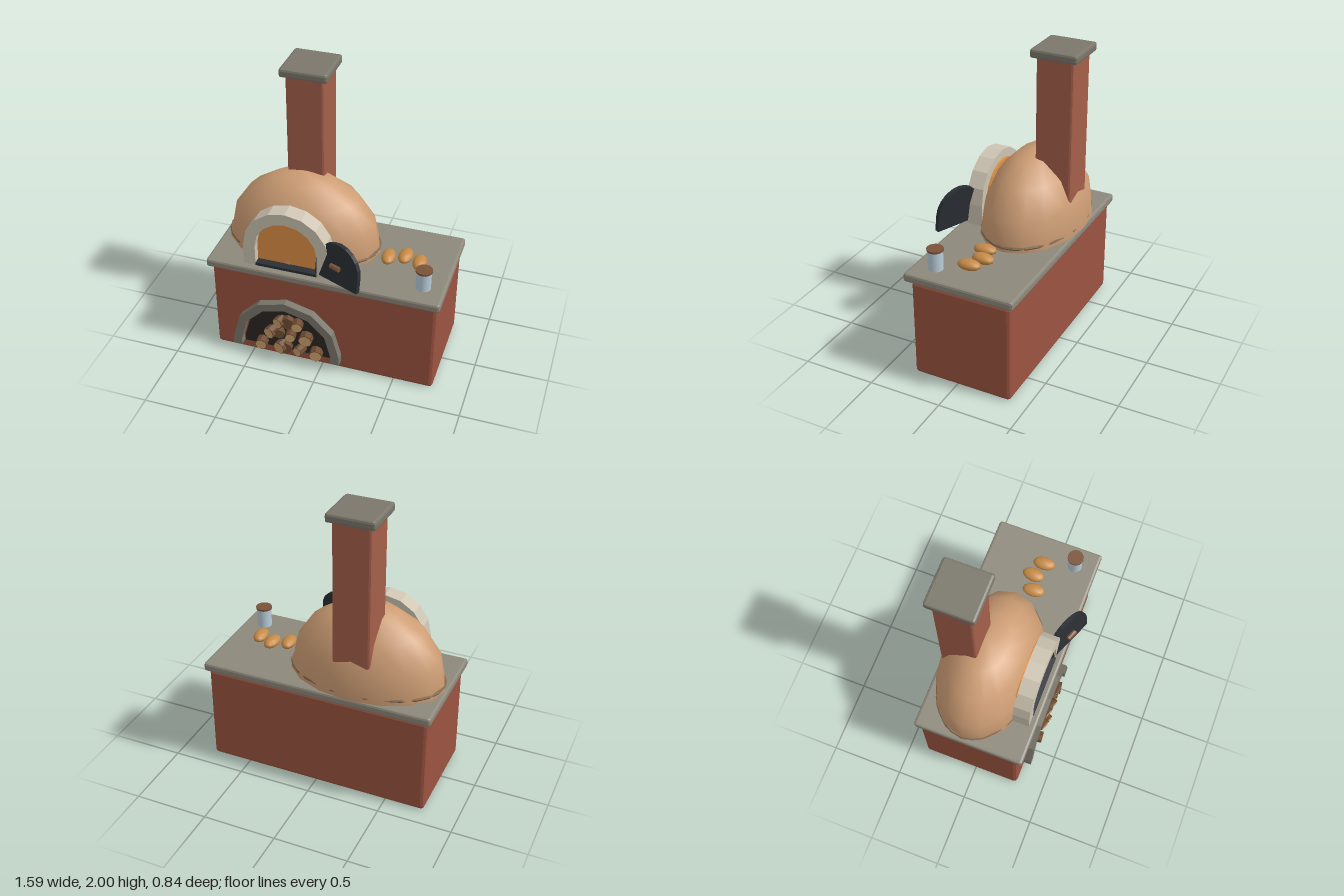
import * as THREE from 'three';
import { RoundedBoxGeometry } from 'three/addons/geometries/RoundedBoxGeometry.js';

const mat = (color, flat = true) =>
  new THREE.MeshStandardMaterial({ color, flatShading: flat, side: THREE.DoubleSide });

const BRICK = mat(0x9c5341), CHIMNEY = mat(0xa5604a), STONE = mat(0x7b776b), SLAB = mat(0x8d887b);
const CLAY = mat(0xcd9d74, false), TRIM = mat(0x856a50), PLASTER = mat(0xcdc4b2), GLOW = mat(0xdf9145);
const IRON = mat(0x2b2f34), SOOT = mat(0x2c2622), BARK = mat(0x6d4a30), WOOD = mat(0xc79d69);
const BREAD = mat(0xc68a45, false), GLASS = mat(0xb9cdd9, false), LID = mat(0x7a5238);

const CX = -0.245; // shared centre line of dome, arches and chimney

export function createModel() {
  const model = new THREE.Group();

  function add(name, geometry, material, x = 0, y = 0, z = 0, parent = model) {
    const mesh = new THREE.Mesh(geometry, material);
    mesh.name = name;
    mesh.position.set(x, y, z);
    parent.add(mesh);
    return mesh;
  }

  // Chamfered box given by its limits
  function block(name, material, [x0, x1], [y0, y1], [z0, z1], bevel) {
    const g = new RoundedBoxGeometry(x1 - x0, y1 - y0, z1 - z0, 1, bevel);
    return add(name, g, material, (x0 + x1) / 2, (y0 + y1) / 2, (z0 + z1) / 2);
  }

  // Round-topped outline standing on y = 0; an inner radius leaves an opening
  function archGeometry(radius, straight, depth, segments, inner = 0) {
    const arc = (r) => Array.from({ length: segments + 1 }, (_, i) => {
      const a = (Math.PI * i) / segments;
      return new THREE.Vector2(r * Math.cos(a), straight + r * Math.sin(a));
    });
    const points = [new THREE.Vector2(radius, 0), ...arc(radius), new THREE.Vector2(-radius, 0)];
    if (inner) {
      points.push(new THREE.Vector2(-inner, 0), ...arc(inner).reverse(), new THREE.Vector2(inner, 0));
    }
    return new THREE.ExtrudeGeometry(new THREE.Shape(points), { depth, bevelEnabled: false });
  }

  // Brick base and worktop
  block('base', BRICK, [-0.77, 0.77], [0, 0.69], [-0.38, 0.31], 0.024);
  block('worktop', SLAB, [-0.793, 0.793], [0.69, 0.75], [-0.407, 0.354], 0.016);

  // Chimney with stone cap
  block('chimney', CHIMNEY, [-0.373, -0.117], [0.86, 1.96], [-0.365, -0.109], 0.016);
  block('chimneyCap', STONE, [-0.405, -0.085], [1.94, 2], [-0.397, -0.077], 0.016);

  // Oval clay dome with a thin band at its foot
  const dome = add('dome',
    new THREE.SphereGeometry(0.53, 16, 4, 0, Math.PI * 2, 0, Math.PI / 2), CLAY, CX, 0.75, -0.075);
  dome.scale.z = 0.642;
  const band = add('domeBand', new THREE.TorusGeometry(0.52, 0.011, 6, 28), TRIM, CX, 0.778, -0.075);
  band.rotation.x = Math.PI / 2;
  band.scale.y = 0.625;

  // Oven mouth
  add('mouthArch', archGeometry(0.293, 0.15, 0.113, 8, 0.212), PLASTER, CX, 0.75, 0.195);
  add('mouthGlow', archGeometry(0.23, 0.15, 0.08, 12), GLOW, CX, 0.75, 0.179);
  add('hearthPlate', new THREE.BoxGeometry(0.42, 0.02, 0.06), IRON, CX, 0.76, 0.282);

  // Iron door leaning beside the mouth
  const door = new THREE.Group();
  door.name = 'door';
  door.position.set(0.115, 0.772, 0.347);
  door.rotation.set(-0.12, -0.39, 0, 'YXZ');
  model.add(door);
  add('doorPanel', archGeometry(0.172, 0.112, 0.03, 10), IRON, 0, 0, -0.015, door);
  const handle = add('doorHandle', new THREE.CylinderGeometry(0.018, 0.018, 0.07, 8), LID, 0, 0.128, 0.035, door);
  handle.rotation.z = Math.PI / 2;

  // Wood store in the base
  add('storeArch', archGeometry(0.38, 0.06, 0.056, 6, 0.32), STONE, CX, 0.067, 0.308);
  add('storeBack', archGeometry(0.31, 0.05, 0.012, 6), SOOT, CX, 0.075, 0.306);

  // Stacked logs: x, y, yaw
  const logs = [
    [-0.425, 0.115, 0.08], [-0.275, 0.115, -0.35], [-0.145, 0.115, -0.3], [-0.035, 0.115, 0.15],
    [-0.345, 0.23, -0.35], [-0.215, 0.23, 0.15], [-0.105, 0.23, 0.1],
    [-0.28, 0.335, -0.35], [-0.165, 0.335, 0.15],
    [-0.235, 0.335, 0.1], [-0.3, 0.23, 0.2], [-0.25, 0.115, 0.1],
  ];
  logs.forEach(([x, y, yaw], i) => {
    const log = new THREE.Group();
    log.name = 'log';
    log.position.set(x, y, i < 9 ? 0.325 : 0.31);
    log.rotation.y = yaw;
    model.add(log);
    const r = 0.042 + 0.006 * Math.sin(i * 2.3);
    add('logBark', new THREE.CylinderGeometry(r, r, 0.1, 8), BARK, 0, 0, 0, log).rotation.x = Math.PI / 2;
    if (i < 9) add('logEnd', new THREE.CircleGeometry(r * 0.92, 8), WOOD, 0, 0, 0.052, log);
  });

  // Loaves on the worktop
  for (const [x, z, yaw] of [[0.362, 0.003, 0.08], [0.468, -0.038, -0.08], [0.573, 0.003, 0.08]]) {
    const loaf = add('loaf', new THREE.SphereGeometry(1, 12, 8), BREAD, x, 0.79, z);
    loaf.scale.set(0.048, 0.034, 0.079);
    loaf.rotation.y = yaw;
  }

  // Jar with lid
  add('jar', new THREE.CylinderGeometry(0.05, 0.05, 0.135, 16), GLASS, 0.648, 0.8175, 0.2);
  add('jarLid', new THREE.CylinderGeometry(0.055, 0.055, 0.013, 16), LID, 0.648, 0.889, 0.2);

  return model;
}
